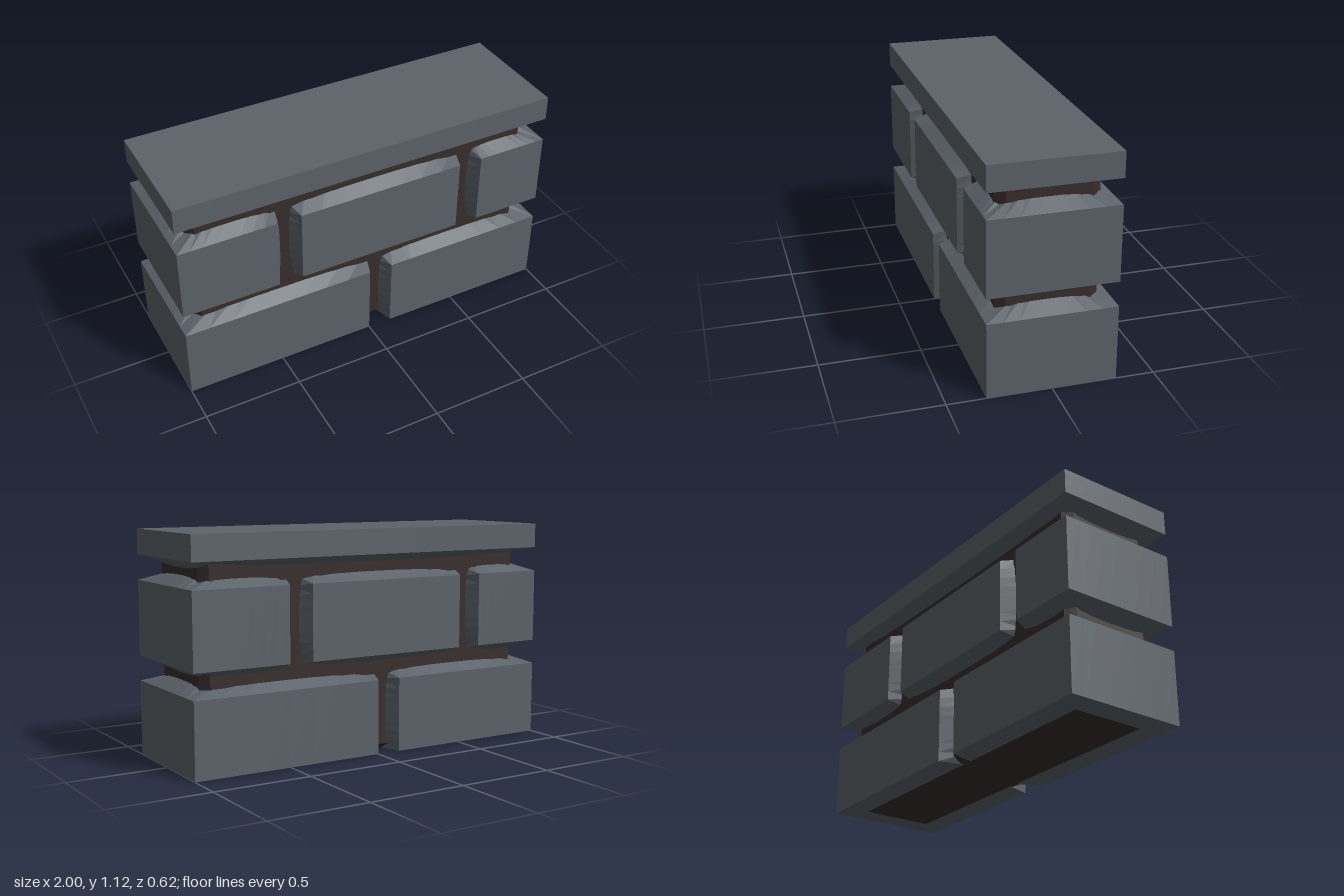
import * as THREE from 'three';

const D = 0.3125;      // half depth of the wall
const INSET = 0.125;   // how far bricks reach into the mortar
const STEPS = 8;

// Slopes swell towards the middle of each edge, t from -1 to 1
const swell = (t) => 0.035 + 0.035 * (1 - Math.abs(t) ** 3);

// Moves a plan point inwards from the wall faces it lies on
function insetPoint([x, z], inset) {
  const nx = Math.abs(x) === 1 ? x - Math.sign(x) * inset : x;
  return [nx, z - Math.sign(z) * inset];
}

// Sweeps a brick section along a plan path; open ends get sloped caps
function brickGeometry(path, y0, y1, { low = 1, high = 1, topInset = INSET, closed = false } = {}) {
  const pos = [];
  const quad = (a, b, c, d) => pos.push(...a, ...b, ...c, ...a, ...c, ...d);
  const last = path.length - 1;
  const mix = (p, q, t) => [p[0] + (q[0] - p[0]) * t, p[1] + (q[1] - p[1]) * t];
  const innerPath = (inset) => path.map((p, i) => {
    const q = insetPoint(p, inset);
    if (!closed && (i === 0 || i === last)) {
      // ends lie on the long faces, so they spread along x
      const n = path[i === 0 ? 1 : last - 1];
      q[0] += Math.sign(p[0] - n[0]) * swell(1);
    }
    return q;
  });
  const inLow = innerPath(INSET), inHigh = innerPath(topInset);

  const sections = [];
  for (let s = 0; s < last; s++) {
    for (let i = s === 0 ? 0 : 1; i <= STEPS; i++) {
      const t = i / STEPS, rise = swell(2 * t - 1);
      const p = mix(path[s], path[s + 1], t);
      const a = mix(inLow[s], inLow[s + 1], t), b = mix(inHigh[s], inHigh[s + 1], t);
      sections.push([
        [a[0], y0 - low * rise, a[1]],
        [p[0], y0, p[1]],
        [p[0], y1, p[1]],
        [b[0], y1 + high * rise, b[1]],
      ]);
    }
  }
  for (let i = 0; i < sections.length - 1; i++) {
    const s = sections[i], n = sections[i + 1];
    for (let k = 0; k < 3; k++) quad(s[k], n[k], n[k + 1], s[k + 1]);
  }

  // Sloped end faces
  if (!closed) {
    for (const start of [true, false]) {
      const sec = sections[start ? 0 : sections.length - 1];
      const p = path[start ? 0 : last], n = path[start ? 1 : last - 1];
      const dir = Math.sign(p[0] - n[0]);
      const row = (j) => {
        const t = j / STEPS, extra = swell(2 * t - 1) - swell(1);
        const inner = [sec[0][0] + dir * extra, sec[0][1] + (sec[3][1] - sec[0][1]) * t, sec[0][2]];
        return [inner, [p[0], y0 + (y1 - y0) * t, p[1]]];
      };
      for (let j = 0; j < STEPS; j++) {
        const [i0, o0] = row(j), [i1, o1] = row(j + 1);
        if (start) quad(i0, o0, o1, i1);
        else quad(o0, i0, i1, o1);
      }
    }
  }
  const geo = new THREE.BufferGeometry();
  geo.setAttribute('position', new THREE.Float32BufferAttribute(pos, 3));
  geo.computeVertexNormals();
  return geo;
}

export function createModel() {
  const group = new THREE.Group();
  const stone = new THREE.MeshStandardMaterial({ color: 0x5b6269 });
  stone.name = 'slate grey stone';
  const mortar = new THREE.MeshStandardMaterial({ color: 0x382c2c });
  mortar.name = 'dark brown mortar';

  const add = (name, geo, mat, turn = 0) => {
    const mesh = new THREE.Mesh(geo, mat);
    mesh.name = name;
    mesh.rotation.y = turn;
    group.add(mesh);
  };
  // Each brick repeats after a half turn of the wall
  const addPair = (name, geo) => {
    add(name + 'A', geo, stone);
    add(name + 'B', geo, stone, Math.PI);
  };

  // Bricks wrapping round the ends, and the middle brick of the upper course
  const wrap = (front, back) => [[front, D], [1, D], [1, -D], [back, -D]];
  addPair('lowerEndBrick', brickGeometry(wrap(0.125, 0), 0, 0.375, { low: 0 }));
  addPair('upperEndBrick', brickGeometry(wrap(0.625, 0.5), 0.5, 0.875));
  addPair('upperMiddleBrick', brickGeometry([[-0.375, D], [0.5, D]], 0.5, 0.875));

  // Cap slab, its top closing at the centre line
  const ring = [[-1, D], [1, D], [1, -D], [-1, -D], [-1, D]];
  add('capSlab', brickGeometry(ring, 1, 1.125, { high: 0, topInset: D, closed: true }), stone);

  // Mortar core with cut corners and a bevelled foot
  const plan = new THREE.Shape([
    [0.92, -0.2], [0.92, 0.2], [0.885, 0.245], [-0.885, 0.245],
    [-0.92, 0.2], [-0.92, -0.2], [-0.885, -0.245], [0.885, -0.245],
  ].map(([x, y]) => new THREE.Vector2(x, y)));
  const core = new THREE.ExtrudeGeometry(plan, {
    depth: 0.97, bevelThickness: 0.03, bevelSize: 0.04, bevelOffset: -0.04, bevelSegments: 1,
  });
  core.rotateX(-Math.PI / 2);
  core.translate(0, 0.032, 0);
  // the bevel offset insets only the foot and the hidden top
  add('mortarCore', core, mortar);
  return group;
}
